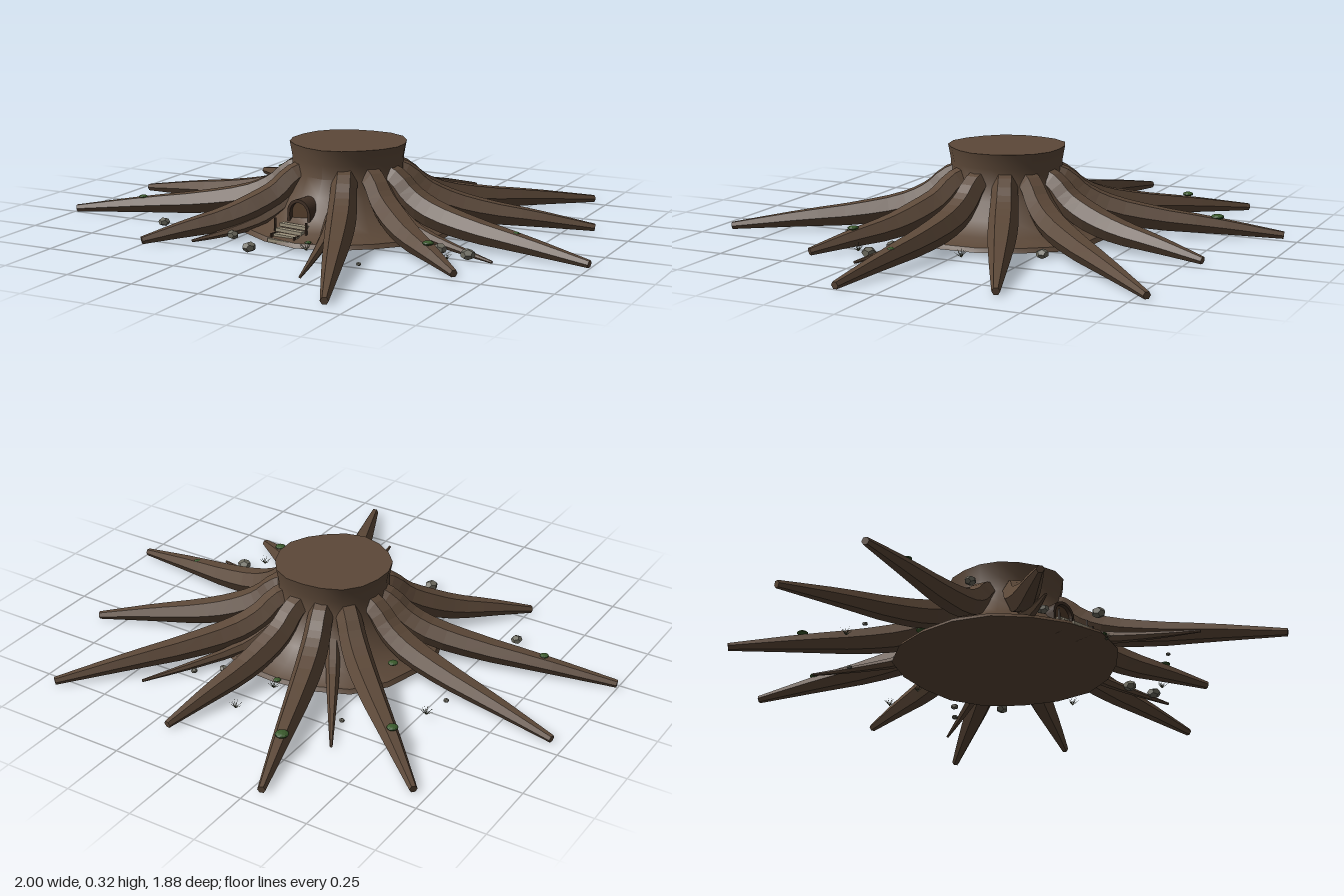
import * as THREE from 'three';
import { mergeGeometries, toCreasedNormals } from 'three/addons/utils/BufferGeometryUtils.js';

const CX = 0.027; // the trunk stands slightly off the origin

function material(name, color) {
  const m = new THREE.MeshStandardMaterial({ color });
  m.name = name;
  return m;
}

// Faceted copy of a geometry
function flat(geo) {
  const g = geo.index ? geo.toNonIndexed() : geo;
  g.deleteAttribute('uv');
  g.computeVertexNormals();
  return g;
}

// Six-sided tapered tube through rows of [radius from trunk, height, thickness]
function rootGeometry(tipX, tipZ, rows, rings) {
  const dir = new THREE.Vector3(tipX - CX, 0, tipZ);
  const length = dir.length();
  dir.normalize();
  const side = new THREE.Vector3(dir.z, 0, -dir.x);
  const path = new THREE.CatmullRomCurve3(rows.map(([r, y, w]) =>
    new THREE.Vector3(r <= 0.36 ? r : 0.36 + (r - 0.36) / 0.64 * (length - 0.36), y, w)));
  const N = 6, pos = [], index = [];
  for (let i = 0; i <= rings; i++) {
    const p = path.getPoint(i / rings);
    const t = path.getTangent(i / rings);
    const tl = Math.hypot(t.x, t.y);
    for (let k = 0; k < N; k++) {
      const a = k / N * Math.PI * 2;
      const s = Math.cos(a) * p.z, n = Math.sin(a) * p.z;
      const r = p.x - n * t.y / tl;
      pos.push(CX + dir.x * r + side.x * s, Math.max(0.002, p.y + n * t.x / tl), dir.z * r + side.z * s);
      if (i < rings) {
        const a0 = i * N + k, b0 = i * N + (k + 1) % N;
        index.push(a0, b0, a0 + N, b0, b0 + N, a0 + N);
      }
    }
  }
  for (let k = 1; k < N - 1; k++) index.push(rings * N, rings * N + k, rings * N + k + 1);
  const g = new THREE.BufferGeometry();
  g.setAttribute('position', new THREE.Float32BufferAttribute(pos, 3));
  g.setIndex(index);
  return flat(g);
}

function archShape(w, h) {
  const s = new THREE.Shape();
  s.moveTo(-w, 0);
  s.lineTo(w, 0);
  s.lineTo(w, h - w);
  s.absarc(0, h - w, w, 0, Math.PI, false);
  s.closePath();
  return s;
}

export function createModel() {
  const model = new THREE.Group();
  const bark = material('bark', 0x5c4838);
  const darkWood = material('dark wood', 0x3f2f24);
  const doorWood = material('door wood', 0x523c2a);
  const plank = material('pale plank', 0x9c937e);
  const stone = material('stone', 0x6e6c60);
  const moss = material('moss', 0x3a5a2c);
  const grass = material('dry grass', 0x55583f);

  const add = (parent, name, geo, mat, x = 0, y = 0, z = 0) => {
    const m = new THREE.Mesh(geo, mat);
    m.name = name;
    m.position.set(x, y, z);
    parent.add(m);
    return m;
  };

  // Flared trunk with an irregular outline and a flat cut top
  const profile = [[0, 0.02], [0.405, 0.02], [0.395, 0.035], [0.33, 0.055], [0.27, 0.1], [0.23, 0.16],
    [0.203, 0.22], [0.201, 0.27], [0.211, 0.325], [0, 0.325]].map(p => new THREE.Vector2(...p));
  const trunk = new THREE.LatheGeometry(profile, 18);
  const tp = trunk.attributes.position;
  for (let i = 0; i < tp.count; i++) {
    const x = tp.getX(i), z = tp.getZ(i), a = Math.atan2(x, z);
    const k = 1 + 0.02 * Math.sin(a * 5 + 1) + 0.015 * Math.cos(a * 3);
    tp.setXYZ(i, x * k, tp.getY(i), z * k);
  }
  add(model, 'trunk', toCreasedNormals(trunk, 0.6), bark, CX);

  // Main roots, drooping from the trunk and tapering to the ground
  const mainRows = [[0.16, 0.225, 0.045], [0.21, 0.205, 0.046], [0.27, 0.15, 0.05], [0.36, 0.105, 0.052],
    [0.52, 0.072, 0.046], [0.75, 0.047, 0.032], [1, 0.017, 0.014]];
  const mainTips = [[-0.29, -0.94], [-0.70, -0.68], [-0.95, -0.19], [-0.995, 0.24], [-0.505, 0.55], [0.41, 0.93],
    [0.64, 0.46], [0.995, 0.15], [0.845, -0.345], [0.69, -0.79], [0.19, -0.80]];
  for (const [x, z] of mainTips) add(model, 'mainRoot', rootGeometry(x, z, mainRows, 14), bark);

  // Thin side roots
  const thinRows = [[0.22, 0.13, 0.025], [0.3, 0.08, 0.025], [0.36, 0.055, 0.023], [0.65, 0.03, 0.015], [1, 0.012, 0.005]];
  for (const [x, z] of [[-0.345, -0.61], [0.435, -0.62], [0.69, 0.255], [0.205, 0.705], [-0.355, 0.46]])
    add(model, 'thinRoot', rootGeometry(x, z, thinRows, 8), bark);

  // Arched doorway and steps at the front
  const entrance = new THREE.Group();
  entrance.name = 'entrance';
  entrance.position.x = CX;
  entrance.rotation.y = -0.168;
  model.add(entrance);
  const frame = archShape(0.05, 0.13);
  frame.holes.push(archShape(0.039, 0.118));
  add(entrance, 'doorFrame', new THREE.ExtrudeGeometry(frame, { depth: 0.09, bevelEnabled: false }), darkWood, 0, 0.03, 0.205);
  add(entrance, 'door', new THREE.ExtrudeGeometry(archShape(0.04, 0.119), { depth: 0.075, bevelEnabled: false }), doorWood, 0, 0.03, 0.205);
  add(entrance, 'doorKnob', new THREE.SphereGeometry(0.005, 8, 6), plank, 0.024, 0.085, 0.284);
  for (let i = 0; i < 4; i++)
    add(entrance, 'step', new THREE.BoxGeometry(0.112, 0.012, 0.021), plank, 0, 0.07 - i * 0.014, 0.32 + i * 0.023);
  for (const s of [-1, 1]) {
    add(entrance, 'stepSide', new THREE.BoxGeometry(0.006, 0.03, 0.085), darkWood, s * 0.05, 0.035, 0.345);
    add(entrance, 'post', new THREE.CylinderGeometry(0.004, 0.005, 0.07, 6), darkWood, s * 0.068, 0.06, 0.34);
  }

  // Loose stones: x, z, size
  const stones = [[-0.565, 0.31, 0.021], [-0.105, 0.495, 0.025], [-0.245, 0.365, 0.022], [0.485, 0.22, 0.025],
    [0.6, 0.25, 0.026], [0.365, -0.29, 0.023], [0.23, -0.415, 0.015], [0.315, 0.5, 0.009],
    [-0.3, -0.47, 0.01], [-0.54, -0.175, 0.01], [0.31, -0.48, 0.012]];
  stones.forEach(([x, z, r], i) => {
    const m = add(model, 'stone', flat(new THREE.DodecahedronGeometry(r, 0)), stone, x, 0.015 + r * 0.5, z);
    m.scale.y = 0.75;
    m.rotation.y = i * 1.3;
  });

  // Moss pads on the roots and around the foot: x, y, z, size
  const pads = [[-0.22, 0.077, -0.715, 0.024], [-0.515, 0.086, -0.5, 0.02], [-0.735, 0.077, 0.185, 0.016],
    [0.505, 0.082, 0.365, 0.02], [0.715, 0.08, 0.1, 0.013], [-0.3, 0.07, -0.13, 0.018], [0.01, 0.04, -0.4, 0.014],
    [0.07, 0.04, 0.395, 0.012]];
  pads.forEach(([x, y, z, r]) => {
    add(model, 'mossPad', flat(new THREE.IcosahedronGeometry(r, 1)), moss, x, y, z).scale.y = 0.4;
  });

  // Sparse tufts of thin blades
  for (const [x, z] of [[0.055, -0.59], [-0.52, -0.28], [0.48, -0.04], [0.55, 0.32], [0.015, -0.415], [0.07, 0.405]]) {
    const blades = [];
    for (let i = 0; i < 11; i++) {
      const blade = new THREE.ConeGeometry(0.0016, 0.034, 3);
      blade.translate(0, 0.017, 0);
      blade.rotateX(0.5 + (i % 3) * 0.25);
      blade.rotateY(i * 2.4);
      blades.push(blade);
    }
    add(model, 'grassTuft', mergeGeometries(blades), grass, x, 0.015, z);
  }
  return model;
}
